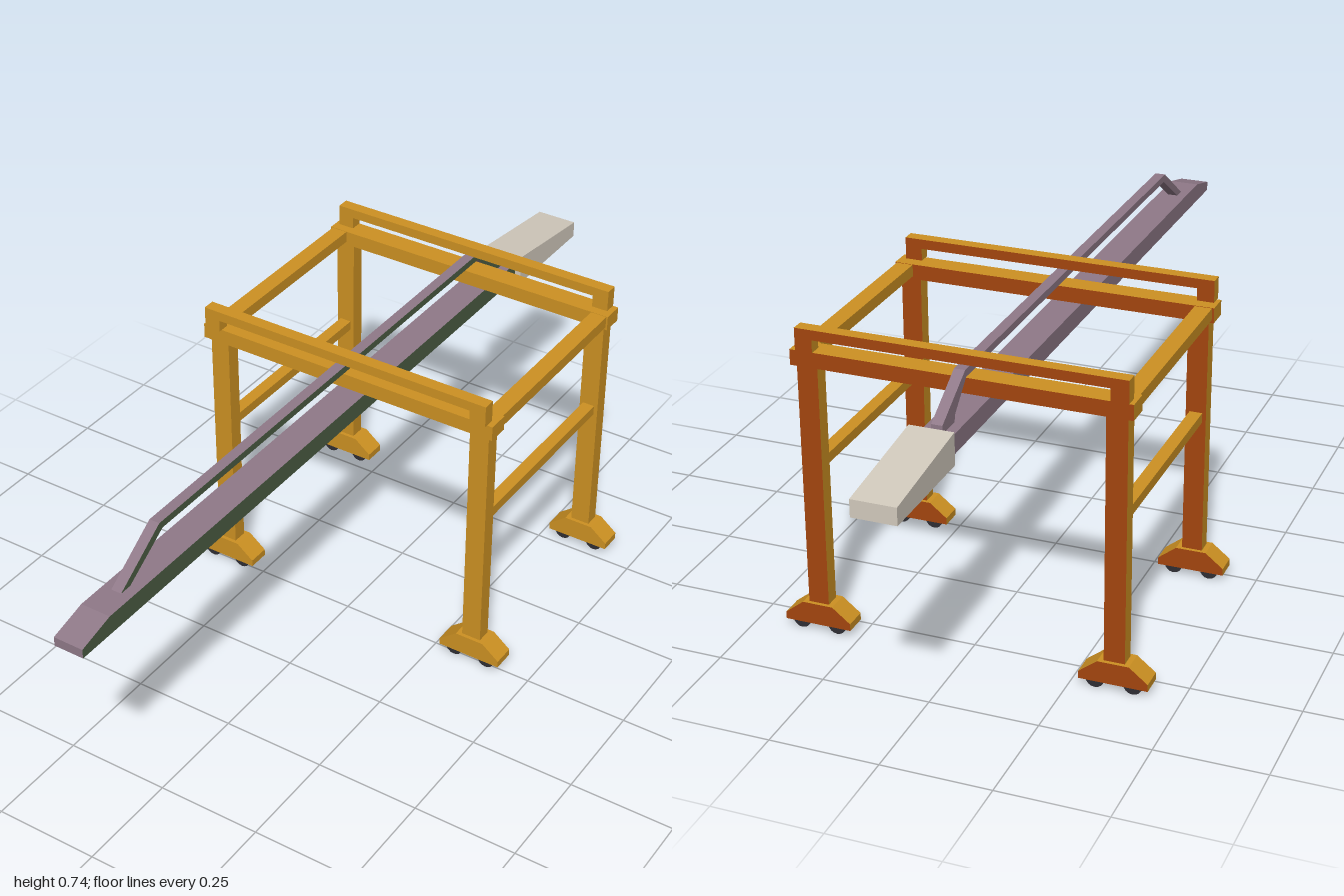
import * as THREE from 'three';

const mat = (name, color) => {
  const m = new THREE.MeshStandardMaterial({ color });
  m.name = name;
  return m;
};

// Splits a geometry in two material groups: faces pointing along `dir` get material 1
function splitByFacing(geometry, dir) {
  const g = geometry.index ? geometry.toNonIndexed() : geometry;
  const p = g.attributes.position;
  const buckets = [[], []];
  const tri = new THREE.Triangle(), n = new THREE.Vector3();
  for (let i = 0; i < p.count; i += 3) {
    tri.setFromAttributeAndIndices(p, i, i + 1, i + 2).getNormal(n);
    buckets[n.dot(dir) > 0.9 ? 1 : 0].push(i, i + 1, i + 2);
  }
  g.setIndex([...buckets[0], ...buckets[1]]);
  g.clearGroups();
  g.addGroup(0, buckets[0].length, 0);
  g.addGroup(buckets[0].length, buckets[1].length, 1);
  return g;
}

// Prism in the x-y plane, running from z0 to z1
function prismXY(points, z0, z1) {
  const shape = new THREE.Shape(points.map(([x, y]) => new THREE.Vector2(x, y)));
  return new THREE.ExtrudeGeometry(shape, { depth: z1 - z0, bevelEnabled: false }).translate(0, 0, z0);
}

// Prism from a [z, y] outline, running from x0 to x1
function prismZY(points, x0, x1) {
  const g = prismXY(points.map(([z, y]) => [-z, y]), x0, x1);
  return g.rotateY(Math.PI / 2);
}

function box(x0, x1, y0, y1, z0, z1) {
  return new THREE.BoxGeometry(x1 - x0, y1 - y0, z1 - z0)
    .translate((x0 + x1) / 2, (y0 + y1) / 2, (z0 + z1) / 2);
}

export function createModel() {
  const yellow = mat('craneYellow', 0xcd9122);
  const rust = mat('rustOrange', 0xa4450e);
  const mauve = mat('boomMauve', 0x8f7988);
  const green = mat('boomGreen', 0x4b5d43);
  const cream = mat('houseCream', 0xd2cabd);
  const dark = mat('wheelDark', 0x2f2e33);

  const model = new THREE.Group();
  const back = new THREE.Vector3(0, 0, -1), side = new THREE.Vector3(1, 0, 0);
  const add = (parent, name, geometry, material) => {
    const m = new THREE.Mesh(geometry, material);
    m.name = name;
    parent.add(m);
  };
  // Frame parts are rust on the rear face, boom parts green on the left face
  const frame = (parent, name, g) => add(parent, name, splitByFacing(g, back), [yellow, rust]);
  const boomPart = (parent, name, g) => add(parent, name, splitByFacing(g, side), [mauve, green]);

  // Two portal gantries: leg centre z, and the z range of the top rail
  const portals = [
    { name: 'frontPortal', z: -0.011, rail: [-0.007, 0.023] },
    { name: 'rearPortal', z: -0.546, rail: [-0.573, -0.543] },
  ];
  for (const { name, z, rail } of portals) {
    const portal = new THREE.Group();
    portal.name = name;
    model.add(portal);
    for (const x of [-0.35, 0.348]) {
      frame(portal, 'leg', box(x - 0.024, x + 0.024, 0.06, 0.655, z - 0.018, z + 0.018));
      frame(portal, 'foot', prismXY([
        [x - 0.079, 0.018], [x + 0.079, 0.018], [x + 0.079, 0.035],
        [x + 0.036, 0.069], [x - 0.036, 0.069], [x - 0.079, 0.035],
      ], z - 0.027, z + 0.027));
      for (const dx of [-0.043, 0.043]) {
        const wheel = new THREE.CylinderGeometry(0.021, 0.021, 0.043, 16)
          .rotateX(Math.PI / 2).translate(x + dx, 0.021, z);
        add(portal, 'wheel', wheel, dark);
      }
    }
    frame(portal, 'crossBeam', box(-0.388, 0.384, 0.648, 0.684, z - 0.026, z + 0.026));
    // Raised rail with its two short posts
    frame(portal, 'topRail', prismXY([
      [-0.378, 0.684], [-0.338, 0.684], [-0.338, 0.713], [0.33, 0.713],
      [0.33, 0.684], [0.37, 0.684], [0.37, 0.736], [-0.378, 0.736],
    ], ...rail));
  }

  // Side beams and lower braces joining the portals
  for (const [name, x] of [['right', -0.363], ['left', 0.36]]) {
    frame(model, name + 'SideBeam', box(x - 0.02, x + 0.02, 0.655, 0.683, -0.525, -0.03));
    const bx = x * 0.965;
    frame(model, name + 'Brace', box(bx - 0.015, bx + 0.015, 0.397, 0.421, -0.53, -0.025));
  }

  // Boom girder with tapered nose, and the stay above it
  const boom = new THREE.Group();
  boom.name = 'boom';
  model.add(boom);
  boomPart(boom, 'girder', prismZY([
    [-0.725, 0.568], [1, 0.568], [1, 0.59], [0.91, 0.613], [-0.725, 0.613],
  ], -0.046, 0.026));
  boomPart(boom, 'stay', prismZY([
    [0.845, 0.61], [0.705, 0.705], [-0.58, 0.705], [-0.70, 0.632], [-0.70, 0.61],
    [-0.64, 0.61], [-0.635, 0.63], [-0.575, 0.688], [0.695, 0.688], [0.815, 0.61],
  ], -0.024, 0.001));

  // Machinery house at the rear end
  add(boom, 'machineryHouse', prismZY([
    [-1, 0.56], [-0.722, 0.56], [-0.722, 0.634], [-1, 0.6],
  ], -0.06, 0.041), cream);

  return model;
}
